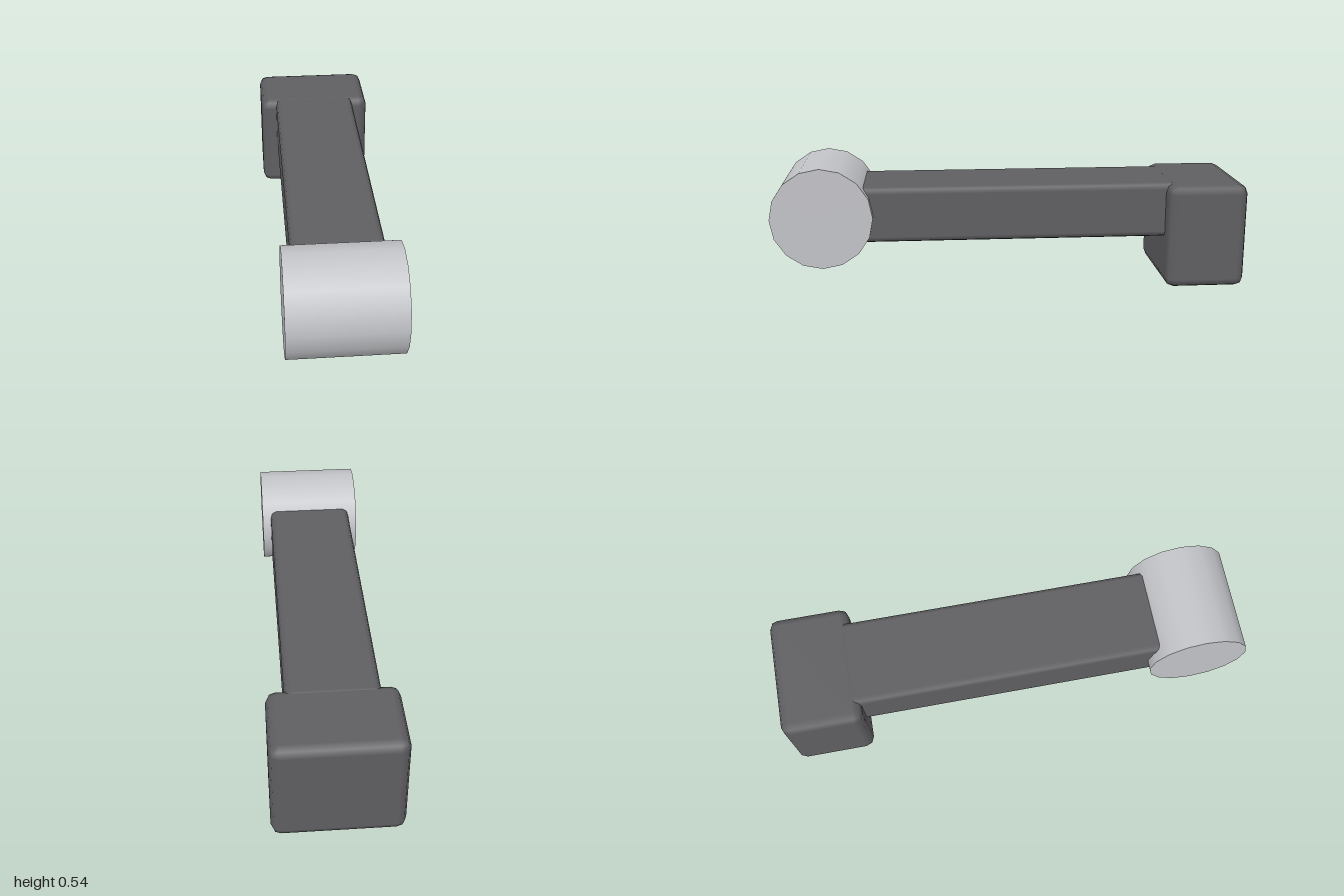
import * as THREE from 'three';
import { RoundedBoxGeometry } from 'three/addons/geometries/RoundedBoxGeometry.js';

export function createModel() {
  const model = new THREE.Group();
  const darkGrey = new THREE.MeshStandardMaterial({ name: 'darkGrey', color: 0x5f5e61 });
  const lightGrey = new THREE.MeshStandardMaterial({ name: 'lightGrey', color: 0xc3c4c8 });

  // Box with narrow bevels, given by its extents in y and z
  function bevelledBox(name, halfWidth, y0, y1, z0, z1, radius) {
    const geometry = new RoundedBoxGeometry(2 * halfWidth, y1 - y0, z1 - z0, 1, radius);
    const mesh = new THREE.Mesh(geometry, darkGrey);
    mesh.name = name;
    mesh.position.set(0, (y0 + y1) / 2, (z0 + z1) / 2);
    model.add(mesh);
  }

  // Block at the back and the arm running forward from it
  bevelledBox('rearBlock', 0.257, 0, 0.445, -1, -0.66, 0.038);
  bevelledBox('arm', 0.185, 0.21, 0.446, -0.71, 0.76, 0.026);

  // Crosswise roller at the front end
  const roller = new THREE.Mesh(new THREE.CylinderGeometry(0.212, 0.212, 0.447, 16), lightGrey);
  roller.name = 'frontRoller';
  roller.rotation.z = Math.PI / 2;
  roller.position.set(0, 0.328, 0.788);
  model.add(roller);

  return model;
}
